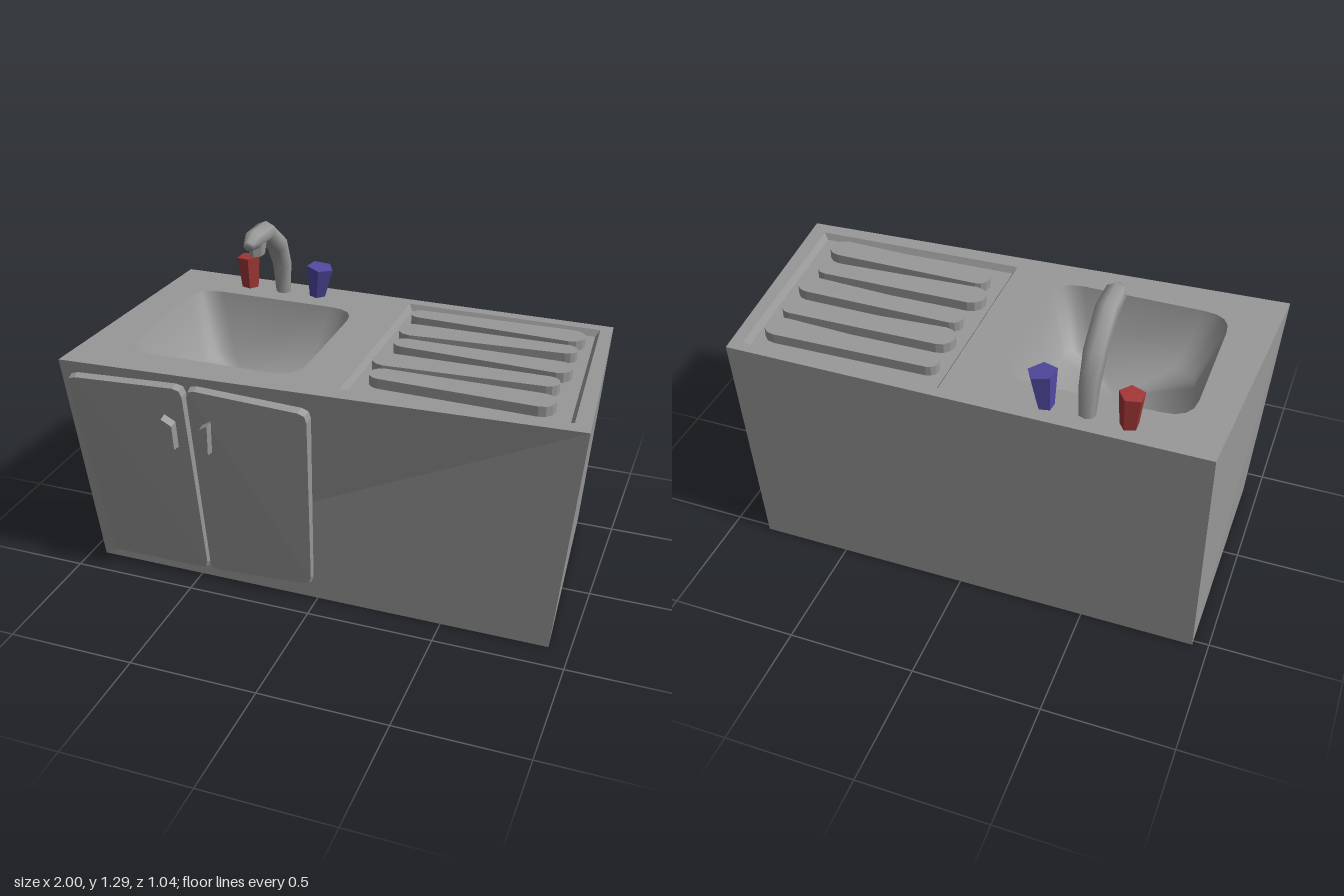
import * as THREE from 'three';

const V3 = (x, y, z) => new THREE.Vector3(x, y, z);
const TOP = 0.92;

// Join rings of points into a skin; rings run anticlockwise seen from the far end.
function loft(rings, { start = false, end = true, smooth = false } = {}) {
  const n = rings[0].length, pos = [], idx = [];
  rings.forEach(r => r.forEach(p => pos.push(p.x, p.y, p.z)));
  for (let k = 0; k < rings.length - 1; k++) {
    for (let i = 0; i < n; i++) {
      const j = (i + 1) % n, a = k * n, b = a + n;
      idx.push(a + i, a + j, b + j, a + i, b + j, b + i);
    }
  }
  const cap = (k, flip) => {
    const c = V3(0, 0, 0);
    rings[k].forEach(p => c.addScaledVector(p, 1 / n));
    const ci = pos.length / 3;
    pos.push(c.x, c.y, c.z);
    for (let i = 0; i < n; i++) {
      const a = k * n + i, b = k * n + (i + 1) % n;
      idx.push(ci, flip ? b : a, flip ? a : b);
    }
  };
  if (start) cap(0, true);
  if (end) cap(rings.length - 1, false);
  let g = new THREE.BufferGeometry();
  g.setAttribute('position', new THREE.Float32BufferAttribute(pos, 3));
  g.setIndex(idx);
  if (!smooth) g = g.toNonIndexed();
  g.computeVertexNormals();
  return g;
}

// Polygon with rounded corners, as 2D points.
function rounded(corners, r, seg) {
  const pts = corners.map(c => new THREE.Vector2(...c)), out = [];
  pts.forEach((p, i) => {
    const toward = q => p.clone().add(q.clone().sub(p).setLength(r));
    const a = toward(pts[(i + pts.length - 1) % pts.length]);
    const b = toward(pts[(i + 1) % pts.length]);
    out.push(...new THREE.QuadraticBezierCurve(a, p, b).getPoints(seg));
  });
  return out;
}

// Plan outlines use (x, -z).
const level = (pts, y) => pts.map(p => V3(p.x, y, -p.y));
const toV2 = list => list.map(c => new THREE.Vector2(...c));
// Depth of the leaning cabinet front.
const frontZ = (x, y) => 0.39 + 0.05 * (1 - x) * y / TOP;

export function createModel() {
  const model = new THREE.Group();
  const material = (name, color) => {
    const m = new THREE.MeshStandardMaterial({ color });
    m.name = name;
    return m;
  };
  const grey = material('grey', 0x989898);
  const red = material('red', 0xa03636);
  const blue = material('blue', 0x5049a0);
  const add = (name, geometry, mat = grey) => {
    const mesh = new THREE.Mesh(geometry, mat);
    mesh.name = name;
    model.add(mesh);
  };

  // Crooked cabinet, open on top
  const base = toV2([[-0.94, -0.39], [0.92, -0.39], [0.85, 0.52], [-0.94, 0.52]]);
  const rim = toV2([[-1, -0.49], [1, -0.39], [0.92, 0.52], [-0.94, 0.52]]);
  add('cabinet', loft([level(base, 0), level(rim, TOP)], { start: true, end: false }));

  // Worktop with openings for the basin and drainer
  const basinTop = rounded([[-0.81, -0.325], [-0.1, -0.325], [-0.1, 0.33], [-0.81, 0.33]], 0.11, 4);
  const basinFloor = rounded([[-0.72, -0.255], [-0.18, -0.255], [-0.18, 0.26], [-0.72, 0.26]], 0.1, 4);
  const trayTop = toV2([[0.085, -0.365], [0.935, -0.335], [0.875, 0.475], [0.085, 0.475]]);
  const trayFloor = toV2([[0.1, -0.35], [0.917, -0.322], [0.86, 0.46], [0.1, 0.46]]);
  const topShape = new THREE.Shape(rim);
  topShape.holes.push(new THREE.Path(basinTop), new THREE.Path(trayTop));
  add('worktop', new THREE.ShapeGeometry(topShape).rotateX(-Math.PI / 2).translate(0, TOP, 0));
  add('basin', loft([level(basinTop, TOP), level(basinFloor, TOP - 0.25)], { smooth: true }));
  add('drainerTray', loft([level(trayTop, TOP), level(trayFloor, TOP - 0.025)]));

  // Drainer ribs: left end x, z, radius, then right end x, z, radius
  const ribs = [
    [0.13, -0.355, 0.037, 0.84, -0.35, 0.056],
    [0.13, -0.195, 0.056, 0.835, -0.22, 0.04],
    [0.15, -0.067, 0.04, 0.85, -0.055, 0.052],
    [0.12, 0.098, 0.056, 0.83, 0.076, 0.043],
    [0.15, 0.222, 0.046, 0.85, 0.23, 0.054],
  ];
  for (const [x0, z0, r0, x1, z1, r1] of ribs) {
    const pts = [];
    const arc = (x, z, r, from) => {
      for (let i = 0; i <= 6; i++) {
        const a = from + Math.PI * i / 6;
        pts.push(new THREE.Vector2(x + r * Math.cos(a), -z + r * Math.sin(a)));
      }
    };
    arc(x1 - r1, z1, r1, -Math.PI / 2);
    arc(x0 + r0, z0, r0, Math.PI / 2);
    add('drainerRib', loft([level(pts, TOP - 0.025), level(pts, 0.935)]));
  }

  // Doors and pulls follow the leaning front
  const onFront = (pts, out) => pts.map(p => V3(p.x, p.y, frontZ(p.x, p.y) + out(p.y)));
  const shrink = (pts, s) => {
    const c = new THREE.Vector2();
    pts.forEach(p => c.addScaledVector(p, 1 / pts.length));
    return pts.map(p => p.clone().sub(c).multiplyScalar(s).add(c));
  };
  const doorOut = y => 0.012 + 0.022 * y;
  const doors = {
    rightDoor: [[-0.885, 0.035], [-0.46, 0.035], [-0.487, 0.888], [-0.965, 0.875]],
    leftDoor: [[-0.455, 0.035], [-0.017, 0.062], [0, 0.855], [-0.477, 0.89]],
  };
  for (const [name, corners] of Object.entries(doors)) {
    const outline = rounded(corners, 0.035, 2);
    add(name, loft([onFront(outline, () => -0.004), onFront(shrink(outline, 0.98), doorOut)]));
  }
  const pulls = {
    rightPull: [[-0.553, 0.617], [-0.527, 0.62], [-0.527, 0.733], [-0.57, 0.76]],
    leftPull: [[-0.415, 0.617], [-0.39, 0.62], [-0.382, 0.76], [-0.418, 0.738]],
  };
  for (const [name, corners] of Object.entries(pulls)) {
    const pts = toV2(corners);
    add(name, loft([onFront(pts, doorOut), onFront(shrink(pts, 0.92), y => doorOut(y) + 0.035)]));
  }

  // Tap spout: z, y, radius along the bend
  const spine = [
    [-0.43, 0.92, 0.03], [-0.42, 1.045, 0.037], [-0.37, 1.15, 0.042],
    [-0.25, 1.245, 0.042], [-0.14, 1.248, 0.038], [-0.09, 1.235, 0.022],
  ];
  const at = i => V3(-0.46, spine[i][1], spine[i][0]);
  const rings = spine.map(([, , r], i) => {
    const t = at(Math.min(i + 1, spine.length - 1)).sub(at(Math.max(i - 1, 0))).normalize();
    const u = V3(1, 0, 0), v = t.clone().cross(u);
    return Array.from({ length: 7 }, (_, k) => {
      const a = k / 7 * Math.PI * 2 + Math.PI / 2;
      return at(i).addScaledVector(u, r * 1.08 * Math.cos(a)).addScaledVector(v, r * Math.sin(a));
    });
  });
  add('tapSpout', loft(rings, { smooth: true }));
  const nozzle = new THREE.CylinderGeometry(0.05, 0.038, 0.06, 6).toNonIndexed();
  nozzle.computeVertexNormals();
  nozzle.scale(0.75, 1, 1).translate(-0.46, 1.206, -0.17);
  add('tapNozzle', nozzle);

  // Five-sided tap knobs, flaring upward
  const knob = (name, mat, bx, bz, br, tx, tz, tr, turn, tilt) => {
    const ring = (x, y, z, r, lean) => Array.from({ length: 5 }, (_, k) => {
      const a = turn + k / 5 * Math.PI * 2;
      return V3(x + r * Math.cos(a), y - lean * Math.cos(a), z - r * Math.sin(a));
    });
    add(name, loft([ring(bx, TOP, bz, br, 0), ring(tx, 1.055, tz, tr, tilt)]), mat);
  };
  knob('hotKnob', red, -0.615, -0.435, 0.036, -0.618, -0.432, 0.049, 0, -0.004);
  knob('coldKnob', blue, -0.307, -0.432, 0.034, -0.288, -0.418, 0.056, 2.4, 0.008);

  return model;
}
